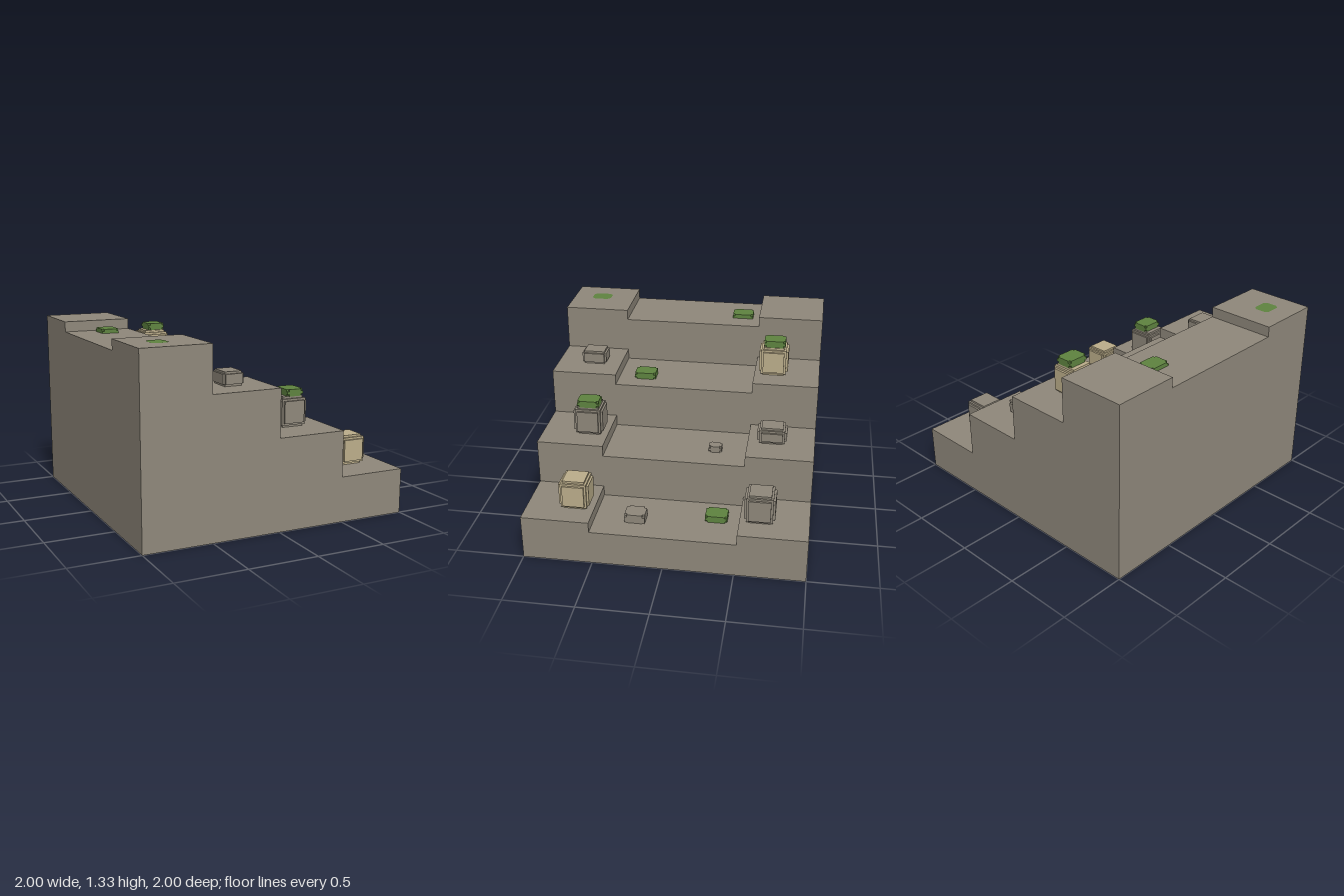
import * as THREE from 'three';

const stone = new THREE.MeshStandardMaterial({ name: 'greyStone', color: 0x8f887b });
const sand = new THREE.MeshStandardMaterial({ name: 'sandstone', color: 0xbcae8b });
const moss = new THREE.MeshStandardMaterial({ name: 'mossGreen', color: 0x5f8440 });

function addBox(group, name, material, size, centre) {
  const mesh = new THREE.Mesh(new THREE.BoxGeometry(...size), material);
  mesh.name = name;
  mesh.position.set(...centre);
  group.add(mesh);
}

// Staircase profile extruded along z, treads given from left (high) to right (low)
function addStairs(group, name, heights, z0, z1) {
  const shape = new THREE.Shape();
  shape.moveTo(-1, 0);
  shape.lineTo(1, 0);
  for (let i = 3; i >= 0; i--) {
    shape.lineTo(-0.5 + i * 0.5, heights[i]);
    shape.lineTo(-1 + i * 0.5, heights[i]);
  }
  const geometry = new THREE.ExtrudeGeometry(shape, { depth: z1 - z0, bevelEnabled: false });
  const mesh = new THREE.Mesh(geometry, stone);
  mesh.name = name;
  mesh.position.z = z0;
  group.add(mesh);
}

// Stepped boulder: a core with a raised slab on every face
function addBoulder(group, name, material, size, centre, inset, coreInset) {
  const boulder = new THREE.Group();
  boulder.name = name;
  boulder.position.set(...centre);
  for (let axis = 0; axis < 3; axis++) {
    addBox(boulder, 'faceSlab', material, size.map((s, i) => (i === axis ? s : s - 2 * inset)), [0, 0, 0]);
  }
  addBox(boulder, 'core', material, size.map((s) => s - 2 * coreInset), [0, 0, 0]);
  group.add(boulder);
}

// Block with its eight corners notched away
function addNotched(group, name, material, size, centre, notch) {
  const block = new THREE.Group();
  block.name = name;
  block.position.set(...centre);
  for (let axis = 0; axis < 3; axis++) {
    addBox(block, 'slab', material, size.map((s, i) => (i === axis ? s - 2 * notch : s)), [0, 0, 0]);
  }
  group.add(block);
}

export function createModel() {
  const model = new THREE.Group();
  model.name = 'steppedTerrace';

  // Raised side strips and the sunken middle
  const high = [1.328, 1.0, 0.66, 0.328];
  const low = [1.252, 0.922, 0.58, 0.252];
  addStairs(model, 'frontStairs', high, 0.515, 1);
  addStairs(model, 'middleStairs', low, -0.515, 0.515);
  addStairs(model, 'backStairs', high, -1, -0.515);

  // Boulders on the side strips
  const cube = [0.215, 0.218, 0.215];
  addBoulder(model, 'sandBoulder', sand, cube, [0.75, 0.437, 0.655], 0.03, 0.015);
  addBoulder(model, 'greyBoulder', stone, cube, [0.75, 0.437, -0.655], 0.03, 0.015);
  addBoulder(model, 'mossyGreyBoulder', stone, cube, [0.247, 0.769, 0.655], 0.03, 0.015);
  addBoulder(model, 'mossySandBoulder', sand, cube, [-0.252, 1.109, -0.656], 0.03, 0.015);
  addBoulder(model, 'flatBoulder', stone, [0.188, 0.125, 0.215], [0.217, 0.722, -0.69], 0.03, 0.015);
  addBoulder(model, 'smallBoulder', stone, [0.155, 0.1, 0.185], [-0.252, 1.05, 0.718], 0.015, 0.015);

  // Pebbles in the middle
  addNotched(model, 'pebble', stone, [0.125, 0.08, 0.145], [0.778, 0.277, 0.222], 0.018);
  addNotched(model, 'tinyPebble', stone, [0.075, 0.047, 0.095], [0.288, 0.603, -0.283], 0.015);

  // Moss cushions: x, top y, z
  const cushions = [
    [0.265, 0.925, 0.655], [-0.237, 1.27, -0.66],
    [-0.718, 1.283, -0.378], [-0.19, 0.97, 0.312], [0.688, 0.3, -0.345],
  ];
  for (const [x, top, z] of cushions) {
    addNotched(model, 'mossCushion', moss, [0.125, 0.05, 0.157], [x, top - 0.025, z], 0.015);
  }

  // Flat moss patch flush with the top tread
  const size = [0.122, 0.15, 0.025];
  const [w, d, c] = [size[0] / 2, size[1] / 2, size[2]];
  const patch = new THREE.Shape([
    [-w + c, -d], [w - c, -d], [w, -d + c], [w, d - c],
    [w - c, d], [-w + c, d], [-w, d - c], [-w, -d + c],
  ].map(([x, y]) => new THREE.Vector2(x, y)));
  const patchMesh = new THREE.Mesh(new THREE.ShapeGeometry(patch), moss);
  patchMesh.name = 'mossPatch';
  patchMesh.rotation.x = -Math.PI / 2;
  patchMesh.position.set(-0.787, 1.33, 0.777);
  model.add(patchMesh);

  return model;
}
